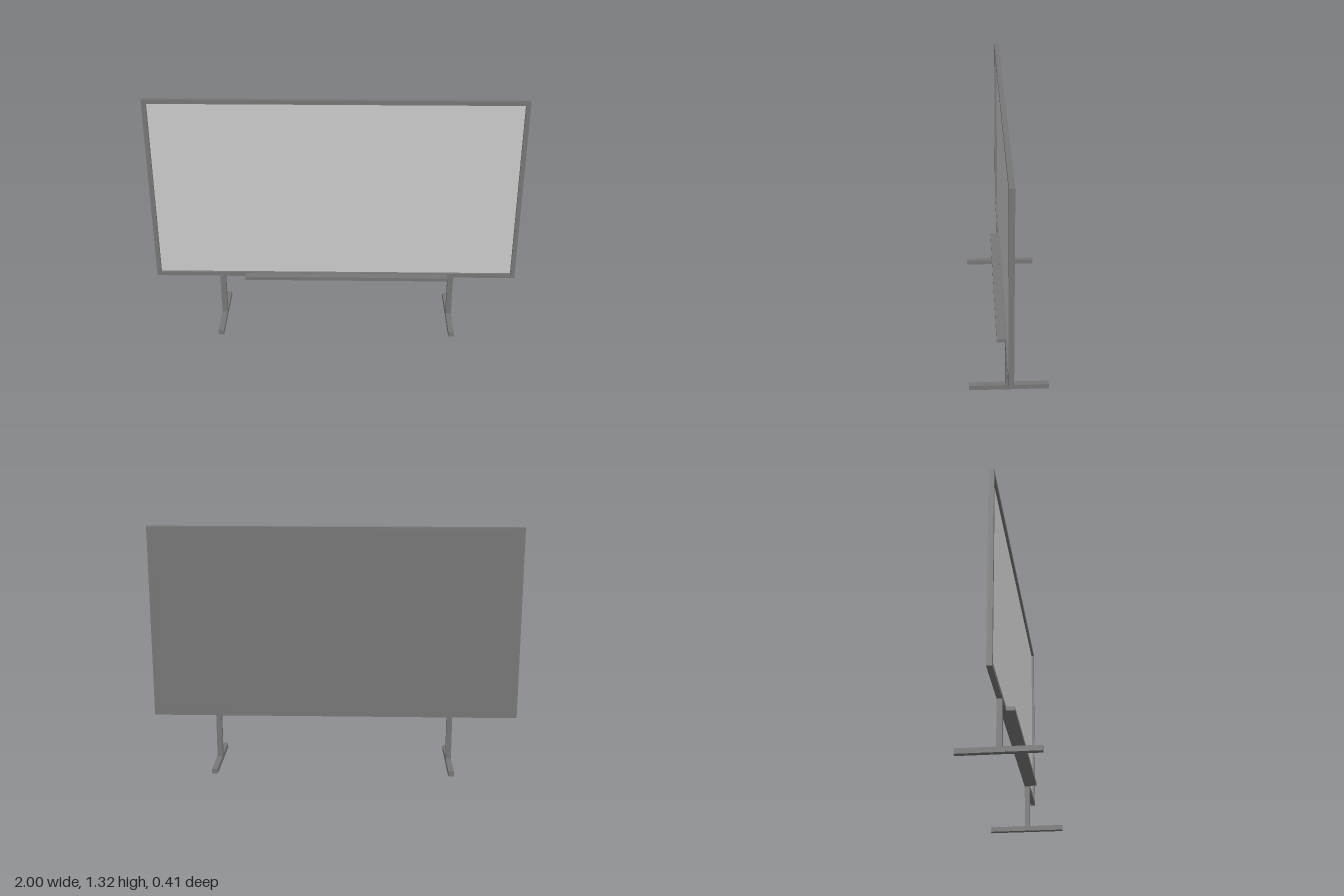
import * as THREE from 'three';

const dark = new THREE.MeshStandardMaterial({ color: 0x777777 });
const light = new THREE.MeshStandardMaterial({ color: 0xcccccc });

// Box given by its minimum and maximum corners
function box(name, [x0, y0, z0], [x1, y1, z1], material = dark) {
  const mesh = new THREE.Mesh(new THREE.BoxGeometry(x1 - x0, y1 - y0, z1 - z0), material);
  mesh.name = name;
  mesh.position.set((x0 + x1) / 2, (y0 + y1) / 2, (z0 + z1) / 2);
  return mesh;
}

function rectangle(PathType, x, y0, y1) {
  return new PathType([
    new THREE.Vector2(-x, y0), new THREE.Vector2(x, y0),
    new THREE.Vector2(x, y1), new THREE.Vector2(-x, y1),
  ]);
}

export function createModel() {
  const model = new THREE.Group();
  model.name = 'standingBoard';
  const bottom = 0.267, top = 1.315, back = -0.009, front = 0.018, panelFront = 0.005;

  // Raised border around the writing surface
  const outline = rectangle(THREE.Shape, 1, bottom, top);
  outline.holes.push(rectangle(THREE.Path, 0.976, bottom + 0.024, top - 0.024));
  const frame = new THREE.Mesh(
    new THREE.ExtrudeGeometry(outline, { depth: front - back, bevelEnabled: false }), dark);
  frame.name = 'frame';
  frame.position.z = back;
  model.add(frame);

  // Backing and recessed writing surface
  model.add(box('backing', [-0.976, bottom + 0.024, back], [0.976, top - 0.024, panelFront - 0.002]));
  model.add(box('writingSurface', [-0.976, bottom + 0.024, panelFront - 0.002],
    [0.976, top - 0.024, panelFront], light));

  // Pen tray along the lower edge
  model.add(box('penTray', [-0.5, bottom, front], [0.622, 0.287, 0.061]));

  // Two T-shaped stands
  for (const [side, x] of [['right', -0.632], ['left', 0.644]]) {
    const stand = new THREE.Group();
    stand.name = side + 'Stand';
    stand.position.x = x;
    stand.add(box('post', [-0.015, 0.027, back], [0.015, bottom, front]));
    stand.add(box('foot', [-0.015, 0, -0.206], [0.015, 0.027, 0.206]));
    model.add(stand);
  }
  return model;
}
